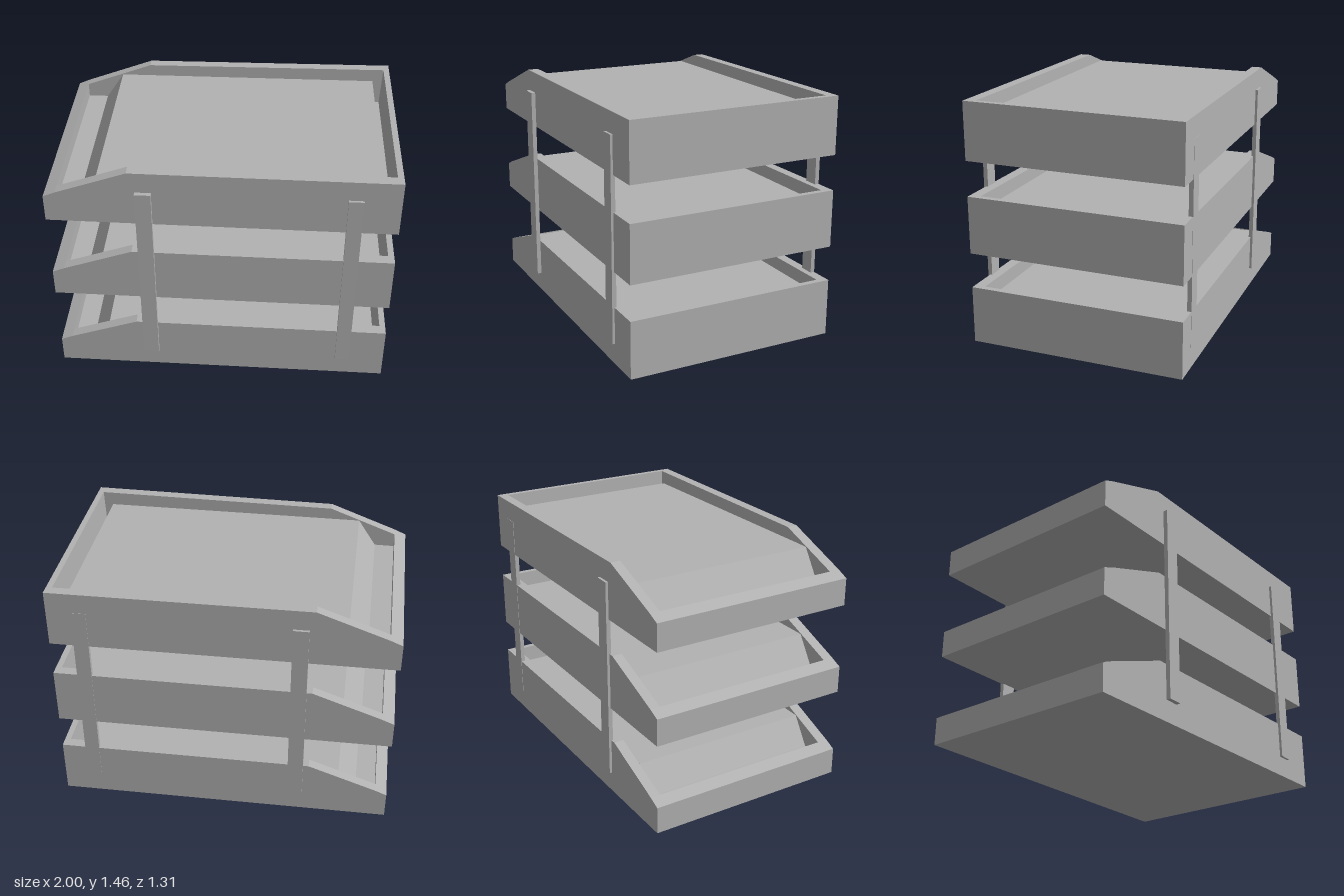
import * as THREE from 'three';

const grey = new THREE.MeshStandardMaterial({ color: 0xb2b2b2 });
grey.name = 'grey plastic';

// Outer side faces: the trays widen slightly toward +x
const zFront = x => 0.63 + 0.015 * x;
const zBack = x => -0.645 - 0.01 * x;
const innerFront = x => zFront(x) - 0.065;
const innerBack = x => zBack(x) + 0.06;

// Extrudes an x/y profile between two z limits that may vary with x
function slab(name, points, zMin, zMax) {
  const shape = new THREE.Shape(points.map(([x, y]) => new THREE.Vector2(x, y)));
  const geo = new THREE.ExtrudeGeometry(shape, { depth: 1, bevelEnabled: false });
  const p = geo.attributes.position;
  for (let i = 0; i < p.count; i++) {
    const x = p.getX(i);
    p.setZ(i, THREE.MathUtils.lerp(zMin(x), zMax(x), p.getZ(i)));
  }
  geo.computeVertexNormals();
  const mesh = new THREE.Mesh(geo, grey);
  mesh.name = name;
  return mesh;
}

function createTray(name, y) {
  const tray = new THREE.Group();
  tray.name = name;
  tray.position.y = y;
  const H = 0.345, floor = 0.11;
  // Side walls step down to the low open end
  const side = [[-1, 0], [1, 0], [1, H], [-0.52, H], [-0.93, 0.195], [-1, 0.165]];
  tray.add(
    slab('frontWall', side, innerFront, zFront),
    slab('backWall', side, zBack, innerBack),
    slab('lowLip', [[-1, 0], [-0.93, 0], [-0.93, 0.195], [-1, 0.165]], innerBack, innerFront),
    slab('highEndWall', [[0.955, 0], [1, 0], [1, H], [0.965, H], [0.955, floor]], innerBack, innerFront),
    slab('floor', [[-0.93, 0], [0.955, 0], [0.955, floor], [-0.93, floor]], innerBack, innerFront),
    // Raised stack with a slanted leading edge
    slab('paperStack', [[-0.81, floor], [0.9, floor], [0.9, 0.275], [-0.7, 0.275]], () => -0.575, () => 0.555)
  );
  return tray;
}

function createPost(name, x0, x1, z0, z1) {
  const y0 = 0.125, y1 = 1.335;
  const post = new THREE.Mesh(new THREE.BoxGeometry(x1 - x0, y1 - y0, z1 - z0), grey);
  post.name = name;
  post.position.set((x0 + x1) / 2, (y0 + y1) / 2, (z0 + z1) / 2);
  return post;
}

export function createModel() {
  const model = new THREE.Group();
  model.name = 'letterTrayStack';
  ['bottomTray', 'middleTray', 'topTray'].forEach((name, i) => model.add(createTray(name, i * 0.556)));
  // Upright posts joining the trays
  model.add(
    createPost('frontPostLow', -0.478, -0.386, 0.63, 0.656),
    createPost('frontPostHigh', 0.705, 0.791, 0.63, 0.656),
    createPost('backPostLow', -0.487, -0.395, -0.656, -0.63),
    createPost('backPostHigh', 0.769, 0.857, -0.655, -0.629)
  );
  return model;
}
